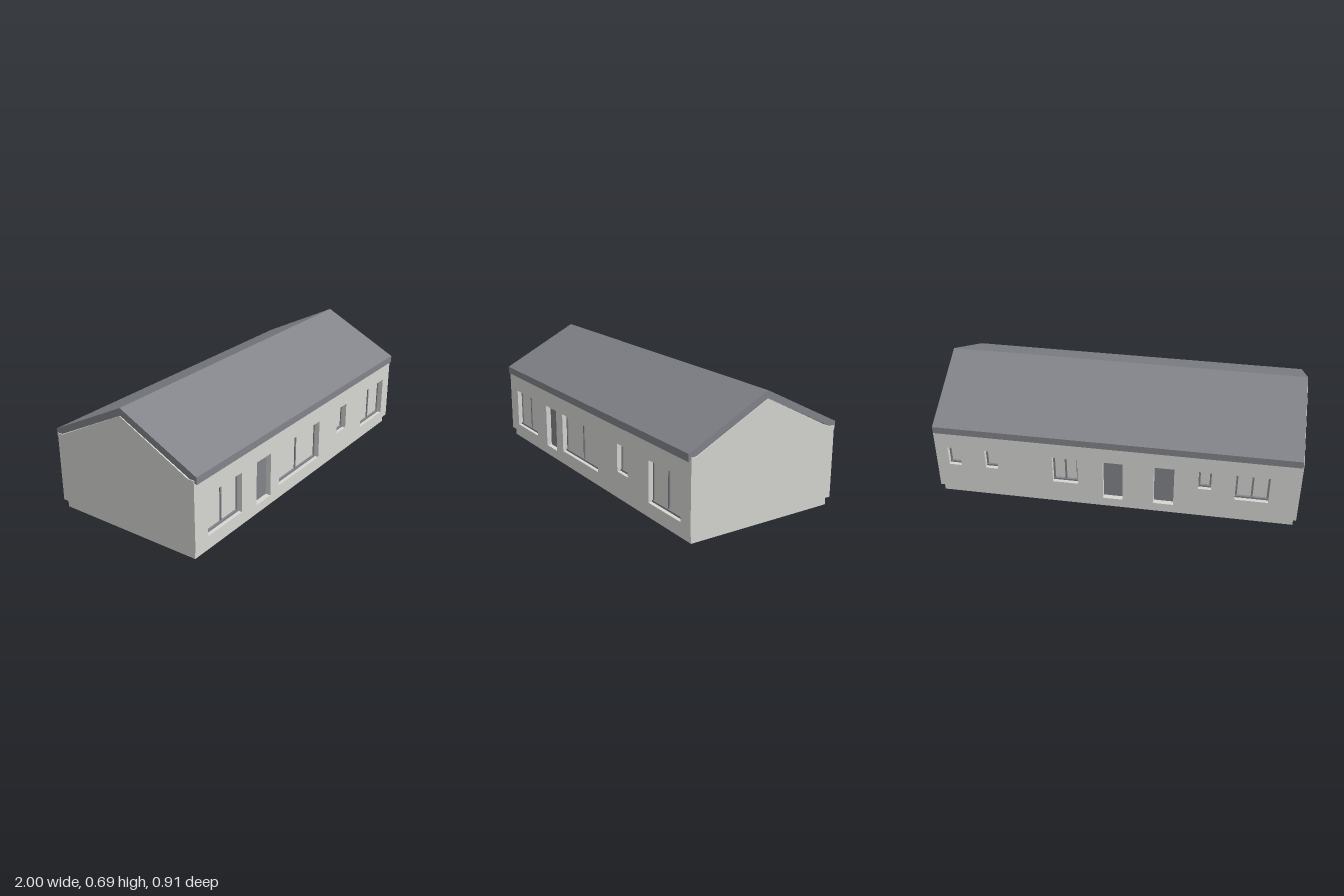
import * as THREE from 'three';

const wallMat = new THREE.MeshStandardMaterial({ color: 0xd6d6d3 });
wallMat.name = 'pale wall';
const darkMat = new THREE.MeshStandardMaterial({ color: 0x82848a });
darkMat.name = 'slate grey';

const CORE_Z = 0.41, WALL_Z = 0.445, WALL_BOTTOM = 0.045, WALL_TOP = 0.435;
const HEAD = 0.315; // shared top of all openings

// Openings: x from, x to, sill height, kind
const frontOpenings = [
  [-0.90, -0.62, 0.09, 'double'],
  [-0.49, -0.36, 0.067, 'door'],
  [-0.28, 0.135, 0.09, 'double'],
  [0.34, 0.445, 0.16, 'single'],
  [0.64, 0.92, 0.09, 'double'],
];
const backOpenings = [
  [0.86, 0.93, 0.20, 'single'],
  [0.65, 0.72, 0.20, 'single'],
  [0.20, 0.34, 0.15, 'double'],
  [-0.05, 0.06, 0.067, 'door'],
  [-0.33, -0.22, 0.067, 'door'],
  [-0.53, -0.46, 0.20, 'single'],
  [-0.84, -0.66, 0.15, 'double'],
];

function mesh(name, geometry, material) {
  const m = new THREE.Mesh(geometry, material);
  m.name = name;
  return m;
}

function box(name, w, h, d, x, y, z, material) {
  const m = mesh(name, new THREE.BoxGeometry(w, h, d), material);
  m.position.set(x, y, z);
  return m;
}

function rectPath(path, x0, x1, y0, y1) {
  path.moveTo(x0, y0);
  path.lineTo(x1, y0);
  path.lineTo(x1, y1);
  path.lineTo(x0, y1);
  path.closePath();
  return path;
}

// Prism along x from a profile of [z, y] points
function prism(name, points, length, material) {
  const shape = new THREE.Shape(points.map(([z, y]) => new THREE.Vector2(z, y)));
  const g = new THREE.ExtrudeGeometry(shape, { depth: length, bevelEnabled: false });
  g.translate(0, 0, -length / 2);
  g.rotateY(Math.PI / 2);
  return mesh(name, g, material);
}

// Recessed window with a slim frame, sill and optional mullion
function windowUnit(x0, x1, y0, kind) {
  const g = new THREE.Group();
  g.name = 'window';
  const w = x1 - x0, h = HEAD - y0, cx = (x0 + x1) / 2, cy = (y0 + HEAD) / 2;
  const bar = 0.01, depth = 0.008, z = CORE_Z + depth / 2;
  g.add(box('glass', w, h, 0.002, cx, cy, CORE_Z + 0.001, wallMat));
  for (const s of [-1, 1]) {
    g.add(box('frameSide', bar, h, depth, cx + s * (w - bar) / 2, cy, z, darkMat));
  }
  g.add(box('frameTop', w, bar, depth, cx, HEAD - bar / 2, z, darkMat));
  g.add(box('sill', w, bar, 0.014, cx, y0 + bar / 2, CORE_Z + 0.007, darkMat));
  if (kind === 'double') g.add(box('mullion', bar, h, depth, cx, cy, z, darkMat));
  return g;
}

// Long wall facing +z; dir mirrors opening positions for the turned back wall
function longWall(name, openings, dir) {
  const g = new THREE.Group();
  g.name = name;
  const shape = rectPath(new THREE.Shape(), -1, 1, WALL_BOTTOM, WALL_TOP);
  for (const [a, b, y0, kind] of openings) {
    const x0 = Math.min(a * dir, b * dir), x1 = Math.max(a * dir, b * dir);
    shape.holes.push(rectPath(new THREE.Path(), x0, x1, y0, HEAD));
    if (kind === 'door') {
      g.add(box('door', x1 - x0, HEAD - y0, 0.006, (x0 + x1) / 2, (y0 + HEAD) / 2, CORE_Z + 0.003, darkMat));
    } else {
      g.add(windowUnit(x0, x1, y0, kind));
    }
  }
  const skin = new THREE.ExtrudeGeometry(shape, { depth: WALL_Z - CORE_Z, bevelEnabled: false });
  skin.translate(0, 0, CORE_Z);
  g.add(mesh('wallSkin', skin, wallMat));
  return g;
}

export function createModel() {
  const house = new THREE.Group();
  house.name = 'house';

  // Plinth
  house.add(box('plinth', 1.97, WALL_BOTTOM, 0.86, 0, WALL_BOTTOM / 2, 0, wallMat));

  // Gabled core
  house.add(prism('gableCore', [
    [-CORE_Z, WALL_BOTTOM], [CORE_Z, WALL_BOTTOM], [CORE_Z, WALL_TOP], [0, 0.645], [-CORE_Z, WALL_TOP],
  ], 2, wallMat));

  // Long walls with openings
  house.add(longWall('frontWall', frontOpenings, 1));
  const back = longWall('backWall', backOpenings, -1);
  back.rotation.y = Math.PI;
  house.add(back);

  // Roof slab with vertical eaves
  house.add(prism('roof', [
    [0, 0.645], [0.457, 0.415], [0.457, 0.455], [0, 0.685], [-0.457, 0.455], [-0.457, 0.415],
  ], 1.99, darkMat));

  return house;
}
